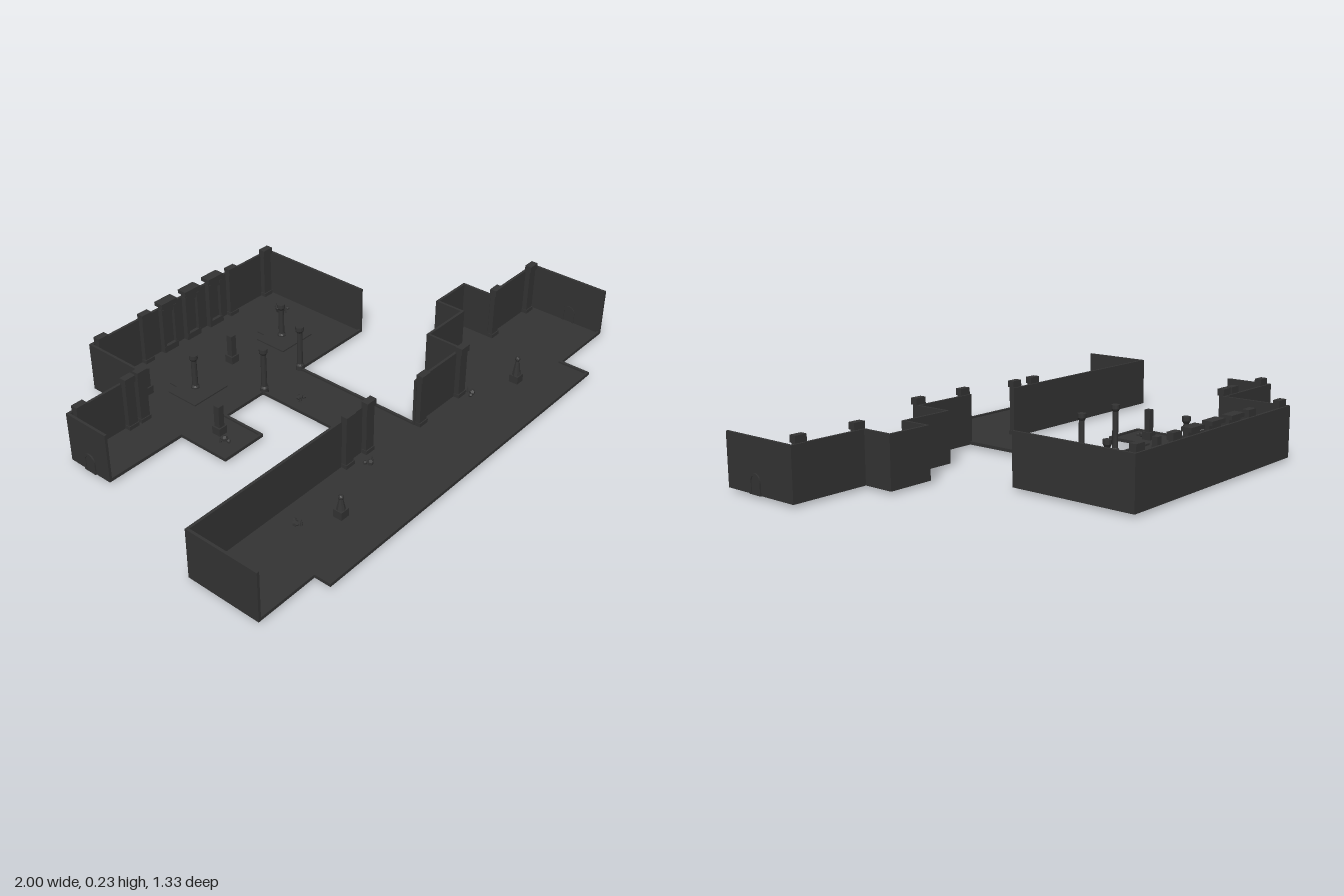
import * as THREE from 'three';

export function createModel() {
  const root = new THREE.Group();
  const stone = new THREE.MeshStandardMaterial({ color: 0x333333, flatShading: true });
  stone.name = 'dark stone';

  const add = (name, geo, x, y, z, parent = root) => {
    const m = new THREE.Mesh(geo, stone);
    m.name = name;
    m.position.set(x, y, z);
    parent.add(m);
    return m;
  };
  // Box given by its footprint centre and its bottom and top heights
  const block = (name, x, z, w, d, y0, y1, parent) =>
    add(name, new THREE.BoxGeometry(w, y1 - y0, d), x, (y0 + y1) / 2, z, parent);

  const BASE = 0.01, FLOOR = 0.015, CURB = 0.022, WALL = 0.2, T = 0.01;

  // Floor plan, clockwise from above: x, z, and 1 if a wall stands on the edge that follows
  const plan = [
    [-0.53, -0.66, 1], [0.405, -0.66, 1], [0.405, -0.168, 0], [0.05, -0.168, 0],
    [0.05, 0.355, 1], [0.305, 0.355, 1], [0.305, 0.21, 1], [0.515, 0.21, 1],
    [0.515, 0.097, 1], [0.695, 0.097, 1], [0.695, 0.217, 1], [0.995, 0.217, 1],
    [0.995, 0.545, 0], [0.715, 0.545, 0], [0.715, 0.66, 0], [-0.757, 0.66, 0],
    [-0.757, 0.598, 0], [-1, 0.598, 1], [-1, 0.312, 1], [-0.16, 0.312, 0],
    [-0.16, -0.168, 0], [-0.345, -0.168, 0], [-0.345, 0.005, 0], [-0.53, 0.005, 0],
    [-0.53, -0.205, 0], [-0.855, -0.205, 1], [-0.855, -0.395, 1], [-0.53, -0.395, 1],
  ];
  const shape = new THREE.Shape(plan.map(([x, z]) => new THREE.Vector2(x, -z)));
  const floor = new THREE.ExtrudeGeometry(shape, { depth: FLOOR - BASE, bevelEnabled: false });
  add('floor', floor.rotateX(-Math.PI / 2), 0, BASE, 0);

  // Walls and curbs lie just inside the outline; inner corners are filled
  const n = plan.length;
  const dir = (i) => {
    const a = plan[(i + n) % n], b = plan[(i + 1) % n];
    return [Math.sign(b[0] - a[0]), Math.sign(b[1] - a[1])];
  };
  const concave = (i) => {
    const p = dir(i - 1), q = dir(i % n);
    return p[0] * q[1] - p[1] * q[0] < 0;
  };
  plan.forEach(([x, z, wall], i) => {
    const [bx, bz] = plan[(i + 1) % n];
    const [dx, dz] = dir(i);
    const s = concave(i) ? T : 0, e = concave(i + 1) ? T : 0;
    const len = Math.abs(bx - x) + Math.abs(bz - z) + s + e;
    const cx = (x + bx) / 2 + dx * (e - s) / 2 - dz * T / 2;
    const cz = (z + bz) / 2 + dz * (e - s) / 2 + dx * T / 2;
    block(wall ? 'wall' : 'curb', cx, cz, dx ? len : T, dz ? len : T, BASE, wall ? WALL : CURB);
  });

  // Pilasters against the walls: centre x, wall z
  const pilaster = (x, z) => {
    const g = new THREE.Group();
    g.name = 'pilaster';
    g.position.set(x, 0, z);
    block('shaft', 0, 0.019, 0.04, 0.02, BASE, WALL, g);
    block('capital', 0, 0.021, 0.046, 0.027, WALL, 0.225, g);
    block('foot', 0, 0.02, 0.044, 0.026, BASE, 0.03, g);
    root.add(g);
  };
  for (const x of [-0.49, -0.283, 0.17, 0.368]) pilaster(x, -0.66);
  for (const x of [-0.813, -0.603, -0.547]) pilaster(x, -0.395);
  for (const x of [-0.283, -0.178]) pilaster(x, 0.312);
  for (const x of [0.064, 0.293]) pilaster(x, 0.355);
  for (const x of [0.707, 0.948]) pilaster(x, 0.217);

  // Framed niches on the back wall
  for (const x of [-0.17, -0.05, 0.073]) {
    const g = new THREE.Group();
    g.name = 'niche';
    g.position.set(x, 0, -0.645);
    for (const s of [-1, 1]) block('jamb', s * 0.03, 0.005, 0.012, 0.02, BASE, WALL, g);
    block('panel', 0, -0.002, 0.05, 0.008, 0.04, 0.19, g);
    block('sill', 0, 0.005, 0.07, 0.022, BASE, 0.04, g);
    block('lintel', 0, 0.003, 0.07, 0.02, 0.18, 0.215, g);
    block('cap', 0, 0, 0.078, 0.04, 0.213, 0.228, g);
    root.add(g);
  }

  // Arched doorways on the end walls
  const arch = (r, h) => {
    const s = new THREE.Shape();
    s.moveTo(-r, 0);
    s.lineTo(r, 0);
    s.lineTo(r, h);
    s.absarc(0, h, r, 0, Math.PI, false);
    return s;
  };
  const frame = arch(0.027, 0.045);
  frame.holes.push(arch(0.018, 0.045));
  for (const [x, z] of [[0.991, 0.403], [-0.851, -0.297]]) {
    const g = new THREE.Group();
    g.name = 'doorway';
    g.position.set(x, BASE, z);
    g.rotation.y = Math.PI / 2;
    const f = new THREE.ExtrudeGeometry(frame, { depth: 0.018, bevelEnabled: false, curveSegments: 8 });
    const d = new THREE.ExtrudeGeometry(arch(0.018, 0.045), { depth: 0.012, bevelEnabled: false, curveSegments: 8 });
    add('door frame', f, 0, 0, -0.009, g);
    add('door', d, 0, 0, -0.006, g);
    root.add(g);
  }

  // Round posts: bottom, top and radius
  const post = (name, x, z, y0, y1, r) => {
    const pts = [[0, y0], [r, y0], [r, y0 + 0.025], [r * 0.7, y0 + 0.032],
      [r * 0.65, y1 - 0.025], [r, y1 - 0.015], [r, y1], [0, y1]];
    add(name, new THREE.LatheGeometry(pts.map((p) => new THREE.Vector2(...p)), 12), x, 0, z);
  };
  for (const x of [-0.148, 0.046]) post('gateColumn', x, -0.172, BASE, WALL, 0.016);

  // Stepped daises, each with a post through its centre
  for (const x of [-0.295, 0.17]) {
    block('dais', x, -0.363, 0.165, 0.135, FLOOR, 0.02);
    block('daisStep', x, -0.448, 0.083, 0.036, FLOOR, 0.02);
    post('daisPost', x, -0.377, 0, 0.16, 0.016);
  }

  // Pedestals with a slim stone or a small figure
  const pedestal = (x, z, top, figure) => {
    const g = new THREE.Group();
    g.name = 'pedestal';
    g.position.set(x, 0, z);
    block('plinth', 0, 0, 0.036, 0.036, BASE, 0.045, g);
    if (figure) {
      const h = top - 0.06;
      const body = new THREE.CylinderGeometry(0.007, 0.016, h, 8);
      add('figure body', body, 0, 0.045 + h / 2, 0, g);
      add('figure head', new THREE.IcosahedronGeometry(0.01, 1), 0, top - 0.009, 0, g);
    } else {
      block('stele', 0, 0, 0.024, 0.024, 0.045, top, g);
    }
    root.add(g);
  };
  pedestal(-0.43, -0.12, 0.13, false);
  pedestal(-0.08, -0.4, 0.13, false);
  pedestal(-0.43, -0.49, 0.12, false);
  pedestal(-0.495, 0.48, 0.1, true);
  pedestal(0.5, 0.48, 0.12, true);

  // Rubble heaps: a low stone with two smaller ones beside it
  const rubble = [[-0.1, -0.045], [-0.62, 0.4], [-0.23, 0.385], [0.33, 0.405], [-0.45, -0.075], [0.32, -0.5]];
  rubble.forEach(([x, z], i) => {
    const g = new THREE.Group();
    g.name = 'rubble';
    g.position.set(x, FLOOR, z);
    g.rotation.y = i * 1.3;
    add('large stone', new THREE.DodecahedronGeometry(0.012), 0, 0.007, 0, g);
    add('small stone', new THREE.DodecahedronGeometry(0.008), 0.016, 0.004, 0.008, g);
    add('shard', new THREE.ConeGeometry(0.006, 0.025, 5), -0.012, 0.012, 0.014, g);
    root.add(g);
  });

  // Urn in the back room
  const urn = [[0, 0], [0.01, 0], [0.017, 0.02], [0.009, 0.034], [0.013, 0.04], [0, 0.04]];
  add('urn', new THREE.LatheGeometry(urn.map((p) => new THREE.Vector2(...p)), 10), 0.3, FLOOR, -0.51);

  return root;
}
